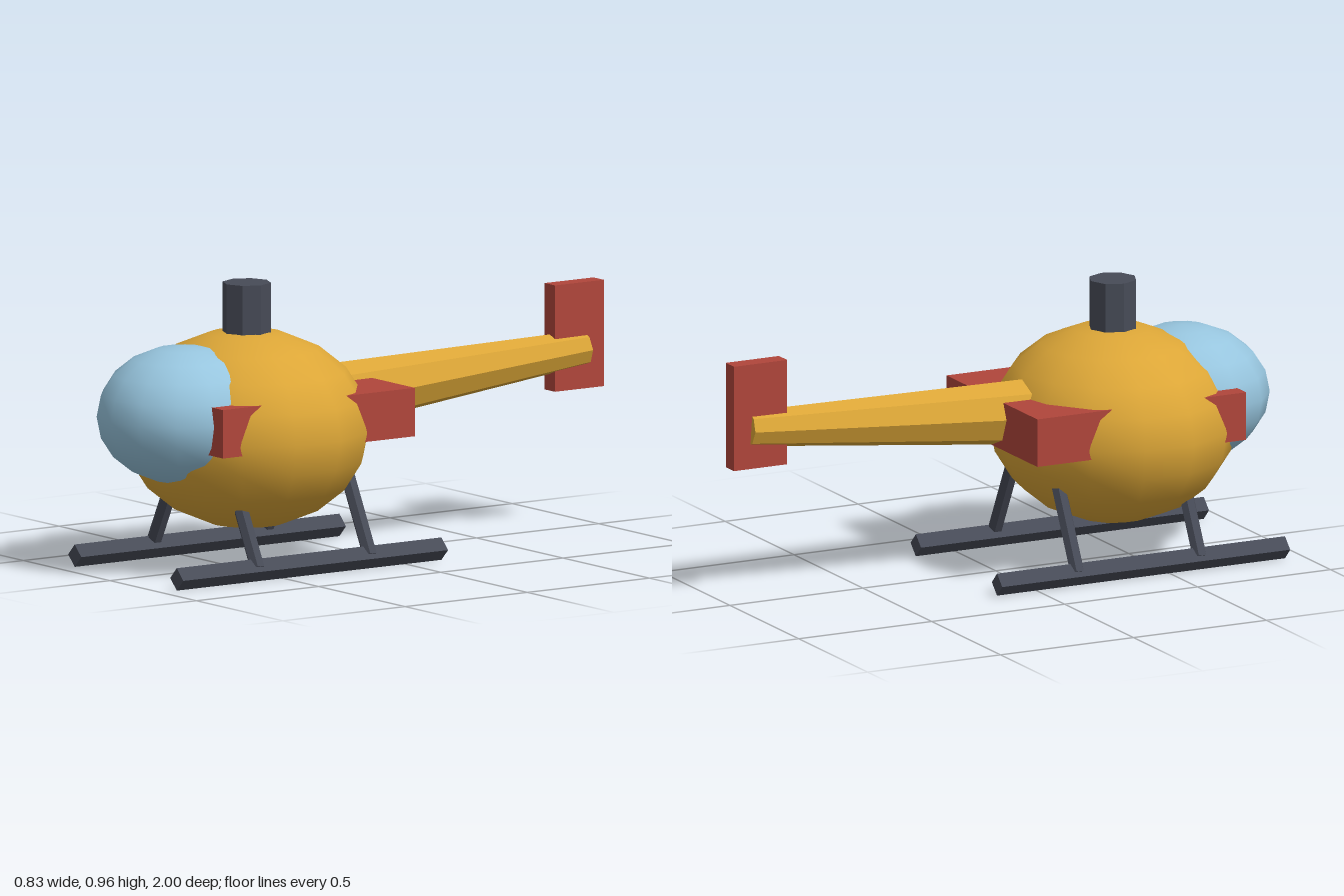
import * as THREE from 'three';

const paint = (name, color, flatShading) => {
  const m = new THREE.MeshStandardMaterial({ color });
  m.name = name;
  m.flatShading = flatShading;
  return m;
};

export function createModel() {
  const group = new THREE.Group();
  group.name = 'helicopter';
  const yellow = paint('yellow', 0xdca637, false);
  const blue = paint('glassBlue', 0x97c5de, false);
  const red = paint('red', 0xb0463b, false);
  const grey = paint('darkGrey', 0x474b57, false);

  const add = (name, geometry, material, x = 0, y = 0, z = 0) => {
    const mesh = new THREE.Mesh(geometry, material);
    mesh.name = name;
    mesh.position.set(x, y, z);
    group.add(mesh);
    return mesh;
  };

  // smooth ellipsoid with a vertex row along the nose line
  const ellipsoid = (rx, ry, rz) =>
    new THREE.SphereGeometry(1, 14, 10).rotateY(Math.PI / 2).scale(rx, ry, rz);

  // faceted rod from a to b, with radius ra at a and rb at b
  const rod = (name, material, a, b, ra, rb, sides) => {
    const from = new THREE.Vector3(...a), to = new THREE.Vector3(...b);
    const dir = to.clone().sub(from);
    const geo = new THREE.CylinderGeometry(rb, ra, dir.length(), sides).toNonIndexed();
    geo.computeVertexNormals();
    const mesh = add(name, geo, material);
    mesh.position.copy(from).add(to).multiplyScalar(0.5);
    mesh.quaternion.setFromUnitVectors(new THREE.Vector3(0, 1, 0), dir.normalize());
    return mesh;
  };

  // cabin and canopy
  add('cabin', ellipsoid(0.426, 0.335, 0.412), yellow, 0, 0.465, 0.44);
  add('canopy', ellipsoid(0.288, 0.234, 0.295), blue, 0, 0.534, 0.7);

  // box whose corners stick out of the cabin
  add('sideBlock', new THREE.BoxGeometry(0.66, 0.164, 0.785), red, 0, 0.518, 0.378);

  // rotor mast
  rod('rotorMast', grey, [0, 0.6, 0.44], [0, 0.957, 0.44], 0.082, 0.082, 8);

  // tapered tail boom and fin
  rod('tailBoom', yellow, [0, 0.531, 0.2], [0, 0.602, -0.935], 0.117, 0.06, 8);
  add('tailFin', new THREE.BoxGeometry(0.06, 0.36, 0.2), red, 0, 0.65, -0.9);

  // skids and struts on both sides
  for (const [side, s] of [['left', 1], ['right', -1]]) {
    rod(side + 'Skid', grey, [s * 0.295, 0.038, -0.148], [s * 0.295, 0.038, 0.935], 0.038, 0.038, 4);
    for (const [end, z] of [['Front', 0.61], ['Rear', 0.15]]) {
      rod(side + end + 'Strut', grey, [s * 0.303, 0.045, z], [s * 0.165, 0.315, z], 0.026, 0.026, 6);
    }
  }
  return group;
}
